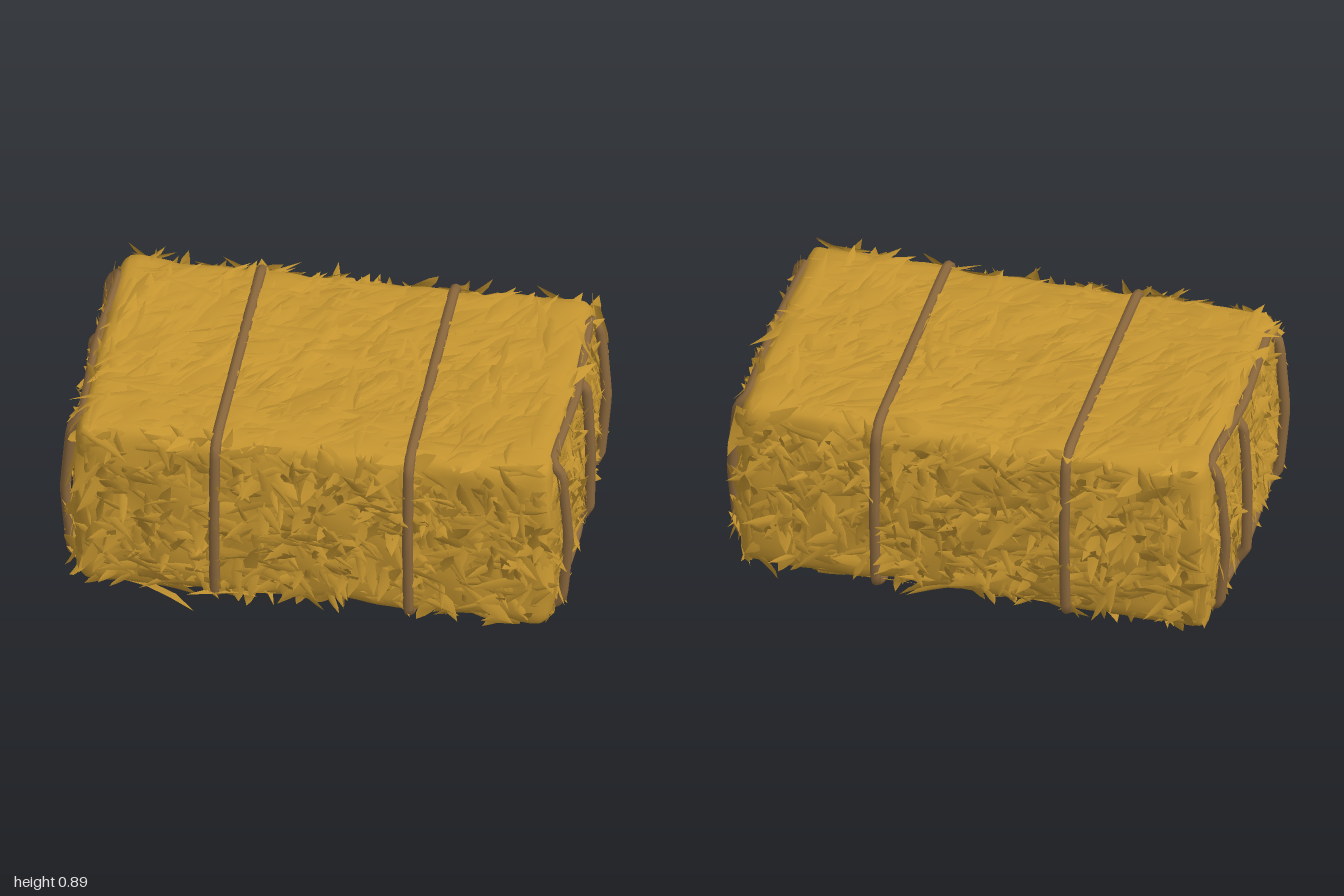
import * as THREE from 'three';
import { mergeVertices } from 'three/addons/utils/BufferGeometryUtils.js';

const HX = 0.925, HY = 0.385, HZ = 0.565, CY = 0.425; // half sizes and centre height

function seeded(seed) {
  return () => {
    seed = (seed * 1664525 + 1013904223) % 4294967296;
    return seed / 4294967296;
  };
}

// Sagging middle and slightly bulging sides shared by the core and the straw
function warp(p) {
  const x = p.x / HX, y = p.y / HY;
  p.y *= 1 + 0.05 * (x * x - 0.6);
  p.z *= 1 + 0.03 * (1 - y * y);
  p.x *= 1 + 0.015 * (1 - y * y);
  p.y += CY;
  return p;
}

// Rounded, lumpy body
function coreGeometry() {
  let g = new THREE.BoxGeometry(HX * 2, HY * 2, HZ * 2, 44, 20, 28);
  g.deleteAttribute('normal');
  g.deleteAttribute('uv');
  g = mergeVertices(g);
  const pos = g.attributes.position, r = 0.07;
  const p = new THREE.Vector3(), inner = new THREE.Vector3();
  const lim = new THREE.Vector3(HX - r, HY - r, HZ - r), neg = lim.clone().negate();
  for (let i = 0; i < pos.count; i++) {
    p.fromBufferAttribute(pos, i);
    inner.copy(p).clamp(neg, lim);
    const n = p.clone().sub(inner).normalize();
    const lump = Math.sin(p.x * 17 + p.y * 9) * Math.sin(p.z * 15 - p.y * 13 + p.x * 5);
    p.copy(inner).addScaledVector(n, r - 0.008 + lump * 0.01);
    warp(p);
    pos.setXYZ(i, p.x, p.y, p.z);
  }
  g.computeVertexNormals();
  return g;
}

// Curved, tapering straw blades scattered over one face of the bale
function strawGeometry({ n, u, v, half, hu, hv, count, len, width, lift, spill, lean = null }, rand) {
  const verts = [], index = [], rows = 5;
  const N = new THREE.Vector3(...n), U = new THREE.Vector3(...u), V = new THREE.Vector3(...v);
  const range = ([a, b]) => a + (b - a) * rand();
  for (let k = 0; k < count; k++) {
    let a, b, ang, L, ok = false;
    for (let tries = 0; tries < 60 && !ok; tries++) {
      a = (rand() * 2 - 1) * (hu - 0.02);
      b = (rand() * 2 - 1) * (hv - 0.02);
      ang = lean === null ? rand() * Math.PI * 2
        : lean + (rand() - 0.5) * 1.5 + (rand() < 0.5 ? Math.PI : 0);
      L = range(len);
      ok = Math.abs(a + Math.cos(ang) * L) < hu + spill * rand()
        && Math.abs(b + Math.sin(ang) * L) < hv + spill * rand();
    }
    if (!ok) continue;
    const W = range(width), H = range(lift), bend = (rand() - 0.5) * 1.2, tilt = (rand() - 0.5) * 0.7;
    const base = verts.length / 3;
    for (let i = 0; i < rows; i++) {
      const t = i / (rows - 1), dir = ang + bend * t * 0.5;
      const w = W * (1 - t) ** 0.7 * (0.75 + 0.6 * t);
      for (let s = -1; s <= 1; s++) {
        const pa = a + Math.cos(dir) * L * t - Math.sin(dir) * w * s;
        const pb = b + Math.sin(dir) * L * t + Math.cos(dir) * w * s;
        // Blades starting near an edge follow the rounded corner
        const edge = Math.max(0, 0.06 - Math.min(hu - Math.abs(pa), hv - Math.abs(pb)));
        const h = half - 0.02 + H * t * (0.5 + 0.5 * t) + (s === 0 ? 0.012 * (1 - t) : 0)
          + tilt * w * s - Math.min(edge, 0.08) * 0.4;
        const p = warp(new THREE.Vector3().addScaledVector(N, h).addScaledVector(U, pa).addScaledVector(V, pb));
        verts.push(p.x, p.y, p.z);
      }
      if (i === 0) continue;
      for (let s = 0; s < 2; s++) {
        const c = base + i * 3 + s, d = c - 3;
        index.push(d, c, d + 1, d + 1, c, c + 1);
      }
    }
  }
  const g = new THREE.BufferGeometry();
  g.setAttribute('position', new THREE.Float32BufferAttribute(verts, 3));
  g.setIndex(index);
  g.computeVertexNormals();
  return g;
}

// Rope along a few points with tight bends
function ropeGeometry(points, closed) {
  const curve = new THREE.CatmullRomCurve3(points.map(p => new THREE.Vector3(...p)), closed, 'catmullrom', 0.12);
  return new THREE.TubeGeometry(curve, 90, 0.021, 8, closed);
}

export function createModel() {
  const bale = new THREE.Group();
  bale.name = 'strawBale';
  const straw = new THREE.MeshStandardMaterial({ color: 0xc4942f, side: THREE.DoubleSide });
  straw.name = 'golden straw';
  const twine = new THREE.MeshStandardMaterial({ color: 0x8a673c });
  twine.name = 'brown twine';
  const add = (name, geometry, material) => {
    const mesh = new THREE.Mesh(geometry, material);
    mesh.name = name;
    bale.add(mesh);
  };

  add('packedBody', coreGeometry(), straw);

  // Straw on each face: dense and ragged on the sides, long and flat above and below
  const rand = seeded(71);
  const side = { len: [0.09, 0.24], width: [0.018, 0.045], lift: [0.015, 0.065], spill: 0.05 };
  const long = { u: [1, 0, 0], v: [0, 1, 0], half: HZ, hu: HX, hv: HY, count: 620, ...side };
  const end = { u: [0, 0, 1], v: [0, 1, 0], half: HX, hu: HZ, hv: HY, count: 380, ...side };
  const flat = { u: [1, 0, 0], v: [0, 0, 1], half: HY, hu: HX, hv: HZ };
  add('frontStraw', strawGeometry({ n: [0, 0, 1], ...long }, rand), straw);
  add('backStraw', strawGeometry({ n: [0, 0, -1], ...long }, rand), straw);
  add('leftEndStraw', strawGeometry({ n: [1, 0, 0], ...end }, rand), straw);
  add('rightEndStraw', strawGeometry({ n: [-1, 0, 0], ...end }, rand), straw);
  add('topStraw', strawGeometry({
    n: [0, 1, 0], ...flat, count: 420, len: [0.18, 0.5], width: [0.025, 0.055], lift: [0.02, 0.04], spill: 0.06, lean: -0.8,
  }, rand), straw);
  add('bottomStraw', strawGeometry({
    n: [0, -1, 0], ...flat, count: 240, len: [0.2, 0.5], width: [0.03, 0.06], lift: [0.008, 0.025], spill: 0.05, lean: 0.4,
  }, rand), straw);

  for (const s of [1, -1]) {
    const label = s > 0 ? 'left' : 'right';
    // Loop around the middle of the bale
    const x = s * 0.375;
    add(label + 'BandRope', ropeGeometry([
      [x, 0.024, 0.45], [x, 0.09, 0.58], [x, 0.42, 0.6], [x, 0.74, 0.58], [x, 0.8, 0.5],
      [x, 0.8, -0.5], [x, 0.74, -0.58], [x, 0.42, -0.6], [x, 0.09, -0.58], [x, 0.024, -0.45],
    ], true), twine);
    // Frame and upright tied across the end
    add(label + 'EndRope', ropeGeometry([
      [s * 0.91, 0.075, 0.43], [s * 0.95, 0.13, 0.45], [s * 0.975, 0.42, 0.455], [s * 0.95, 0.72, 0.46],
      [s * 0.91, 0.77, 0.44], [s * 0.93, 0.755, 0], [s * 0.91, 0.775, -0.44], [s * 0.95, 0.72, -0.46],
      [s * 0.975, 0.42, -0.45], [s * 0.95, 0.13, -0.44], [s * 0.91, 0.09, -0.41], [s * 0.93, 0.08, 0],
    ], true), twine);
    add(label + 'EndUprightRope', ropeGeometry([
      [s * 0.92, 0.075, -0.1], [s * 0.965, 0.15, -0.1], [s * 0.97, 0.42, -0.1],
      [s * 0.955, 0.7, -0.1], [s * 0.91, 0.76, -0.1],
    ], false), twine);
  }
  return bale;
}
